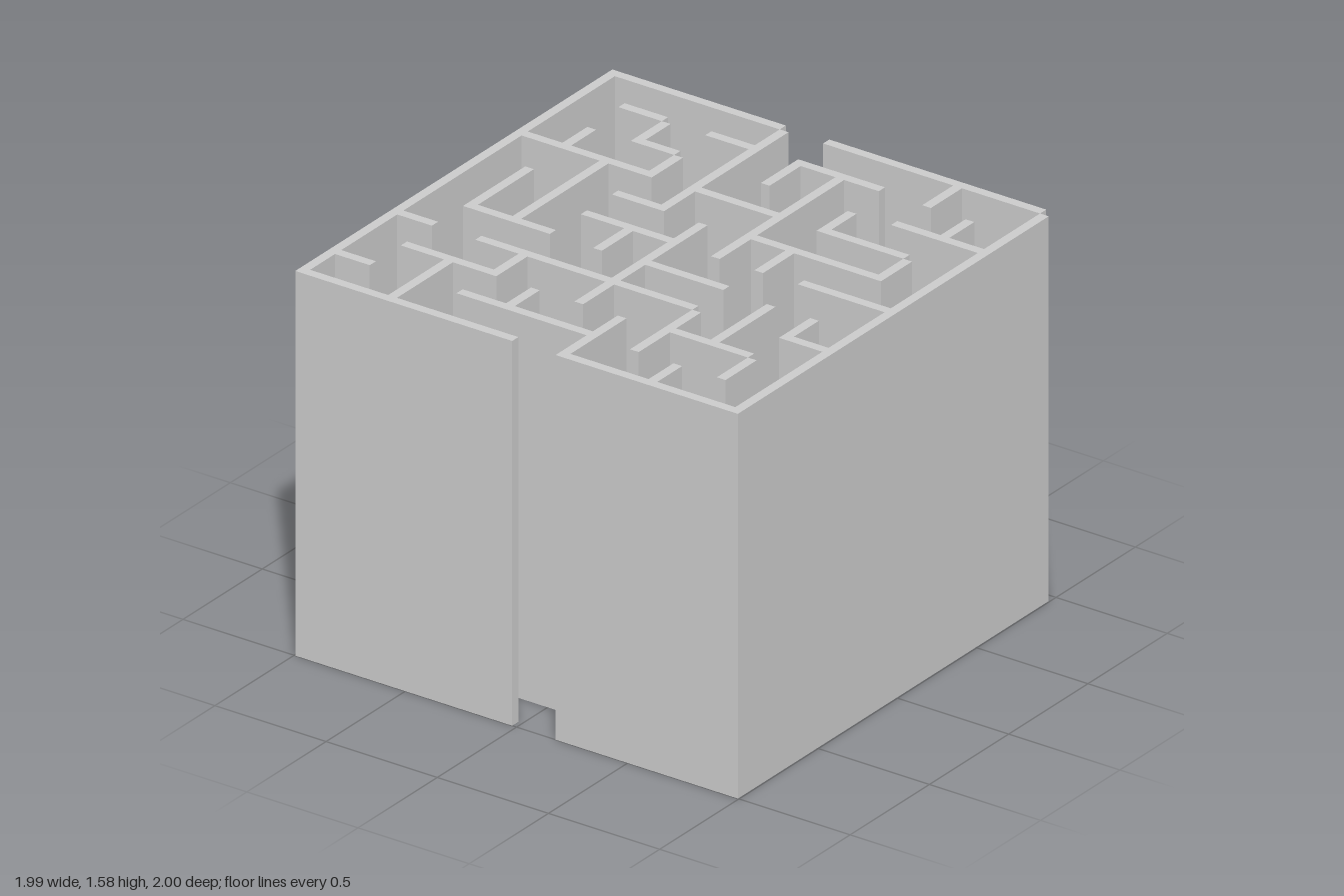
import * as THREE from 'three';

const HEIGHT = 1.58;
const THICK = 0.039;
const lineX = (i) => -0.995 + 0.1951 * i; // left edge of grid line i
const lineZ = (j) => -1 + 0.1961 * j; // back edge of grid line j

// Walls along x: one entry per z line, each run is [first x line, last x line]
const crossRuns = [
  [[0, 4], [5, 10]],
  [[1, 2], [3, 4], [5, 7]],
  [[2, 3], [8, 10]],
  [[0, 3], [4, 6], [7, 9]],
  [[3, 4], [6, 9]],
  [[3, 5], [8, 10]],
  [[1, 3], [5, 7]],
  [[0, 1], [2, 7], [9, 10]],
  [[1, 3], [7, 9]],
  [[0, 1], [3, 6]],
  [[0, 5], [6, 10]],
];

// Walls along z: one entry per x line, each run is [first z line, last z line]
const longRuns = [
  [[0, 10]],
  [[2, 3], [4, 6]],
  [[1, 2], [3, 6], [8, 10]],
  [[2, 3], [7, 8]],
  [[0, 4], [5, 6], [8, 9]],
  [[1, 2], [4, 8]],
  [[1, 5], [8, 10]],
  [[2, 3], [4, 5], [7, 9]],
  [[0, 1], [6, 8], [9, 10]],
  [[1, 2], [3, 4], [6, 7], [8, 9]],
  [[0, 10]],
];

export function createModel() {
  const maze = new THREE.Group();
  maze.name = 'maze';
  const material = new THREE.MeshStandardMaterial({ color: 0xcccccc, flatShading: true });

  const addWall = (name, x0, x1, z0, z1) => {
    const wall = new THREE.Mesh(new THREE.BoxGeometry(x1 - x0, HEIGHT, z1 - z0), material);
    wall.position.set((x0 + x1) / 2, HEIGHT / 2, (z0 + z1) / 2);
    wall.name = name;
    maze.add(wall);
  };
  const label = (line, kind) => (line === 0 || line === 10 ? 'outer' : 'inner') + kind;

  // Cross walls stop at the near edge of their last x line
  crossRuns.forEach((runs, j) => runs.forEach(([a, b]) =>
    addWall(label(j, 'CrossWall'), lineX(a), lineX(b), lineZ(j), lineZ(j) + THICK)));

  // Long walls start in front of their first z line and include the last one
  longRuns.forEach((runs, i) => runs.forEach(([a, b]) =>
    addWall(label(i, 'LongWall'), lineX(i), lineX(i) + THICK, lineZ(a) + (i === 0 ? 0 : THICK), lineZ(b) + THICK)));

  return maze;
}
